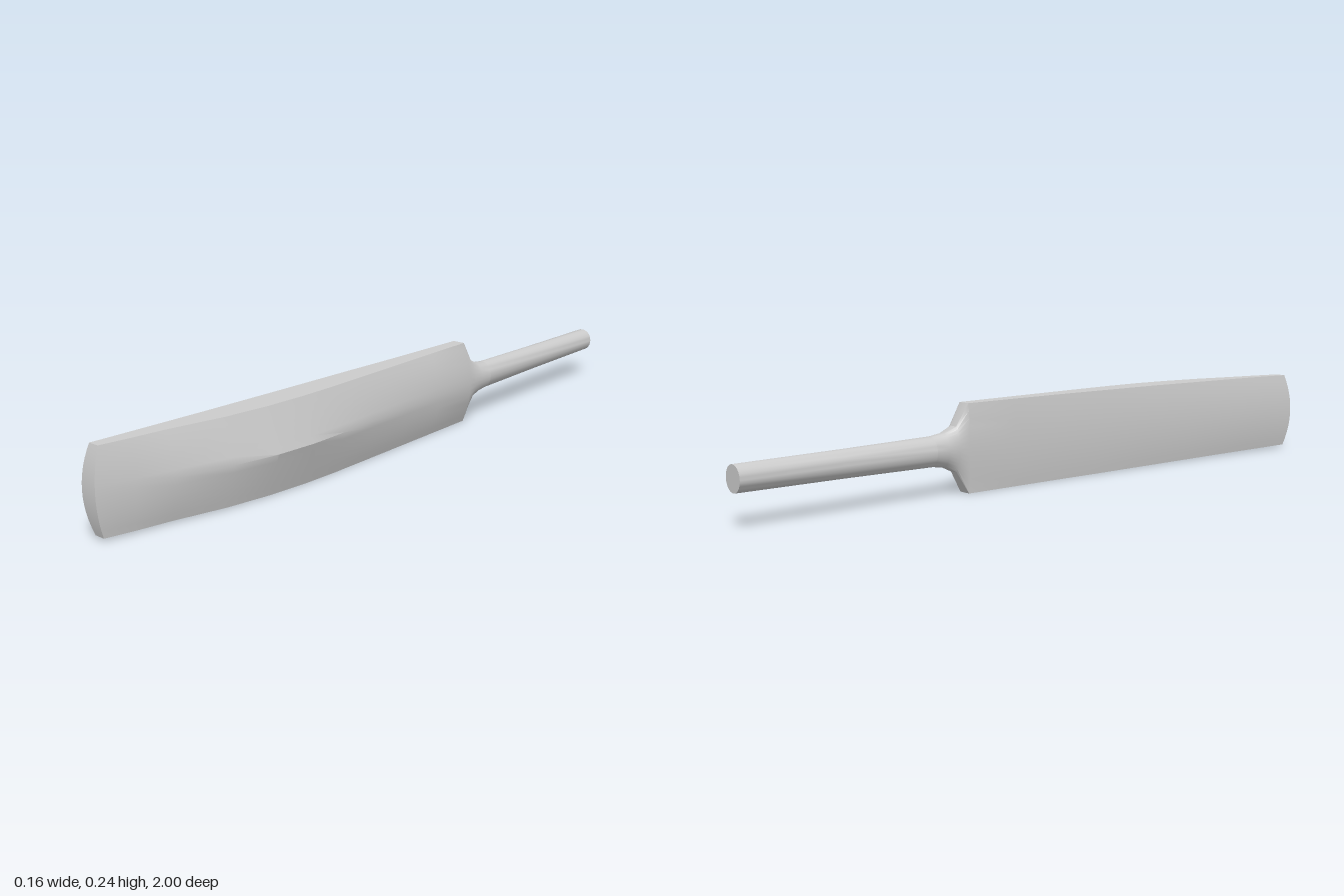
import * as THREE from 'three';
import { toCreasedNormals } from 'three/addons/utils/BufferGeometryUtils.js';

const N = 13;        // points across the face and across the back
const MID_Y = 0.1215;

// One station along the length, from the handle end to the toe:
// [z, face centre x, face edge x, back edge x, ridge x, half width, roundness, ridge softness]
const HANDLE = [
  [-1.0, -0.067, -0.05, -0.02, 0.0, 0.0345, 1, 1],
  [-0.7, -0.056, -0.045, -0.01, 0.011, 0.037, 1, 1],
  [-0.42, -0.047, -0.04, 0.0, 0.022, 0.041, 1, 1],
];
const BLADE = [
  HANDLE[2],
  [-0.38, -0.045, -0.038, 0.0, 0.024, 0.046, 0.9, 1],
  [-0.345, -0.043, -0.037, 0.0, 0.026, 0.062, 0.5, 1],
  [-0.31, -0.042, -0.036, 0.002, 0.029, 0.1215, 0, 1],
  [-0.15, -0.043, -0.036, 0.011, 0.039, 0.1215, 0, 0.8],
  [0.0, -0.045, -0.037, 0.02, 0.049, 0.1213, 0, 0.6],
  [0.15, -0.048, -0.04, 0.029, 0.061, 0.121, 0, 0.4],
  [0.28, -0.051, -0.042, 0.037, 0.073, 0.1205, 0, 0.15],
  [0.4, -0.054, -0.044, 0.04, 0.08, 0.12, 0, 0],
  [0.52, -0.058, -0.048, 0.036, 0.075, 0.119, 0, 0],
  [0.65, -0.063, -0.052, 0.022, 0.054, 0.118, 0, 0.1],
  [0.8, -0.07, -0.058, -0.008, 0.016, 0.117, 0, 0.6],
  [0.9, -0.075, -0.063, -0.022, -0.007, 0.116, 0, 0.9],
  [0.98, -0.081, -0.068, -0.036, -0.03, 0.115, 0, 1],
];

// Closed cross-section: up the ridged back, then down the bowed face
function section([z, faceMid, faceEdge, backEdge, ridge, half, round, soft]) {
  const { lerp, degToRad } = THREE.MathUtils;
  const centre = (faceMid + ridge) / 2, radius = (ridge - faceMid) / 2;
  const points = [];
  for (let j = 0; j < 2 * N; j++) {
    const back = j < N;
    const u = back ? (2 * j) / (N - 1) - 1 : 1 - (2 * (j - N)) / (N - 1);
    const bow = 1 - u * u;
    const x = back
      ? lerp(backEdge, ridge, lerp(1 - Math.abs(u), bow, soft))
      : lerp(faceEdge, faceMid, bow);
    const angle = back ? degToRad(85 * u) : Math.PI - degToRad(75 * u);
    // the toe is rounded towards its tip
    const tip = z > 0.95 ? 0.02 * bow : 0;
    points.push(
      lerp(x, centre + radius * Math.cos(angle), round),
      MID_Y + half * lerp(u, Math.sin(angle), round),
      z + tip
    );
  }
  return points;
}

// Skin the stations and close the chosen ends with strips from back to face
function loft(rows, capStart, capEnd) {
  const ring = 2 * N, index = [];
  const quad = (a, b, c, d) => index.push(a, b, c, a, c, d);
  for (let i = 0; i < rows.length - 1; i++) {
    for (let j = 0; j < ring; j++) {
      const k = (j + 1) % ring, a = i * ring, b = a + ring;
      quad(a + j, a + k, b + k, b + j);
    }
  }
  const last = (rows.length - 1) * ring;
  for (let k = 0; k < N - 1; k++) {
    const m = ring - 1 - k;
    if (capStart) quad(k, m, m - 1, k + 1);
    if (capEnd) quad(last + k, last + k + 1, last + m - 1, last + m);
  }
  const geometry = new THREE.BufferGeometry();
  geometry.setAttribute('position', new THREE.Float32BufferAttribute(rows.flatMap(section), 3));
  geometry.setIndex(index);
  return toCreasedNormals(geometry, THREE.MathUtils.degToRad(32));
}

export function createModel() {
  const group = new THREE.Group();
  group.name = 'cricketBat';
  const material = new THREE.MeshStandardMaterial({ color: 0xcccccc });
  const add = (name, geometry) => {
    const mesh = new THREE.Mesh(geometry, material);
    mesh.name = name;
    group.add(mesh);
  };
  add('handle', loft(HANDLE, true, false));
  add('blade', loft(BLADE, false, true));
  return group;
}
